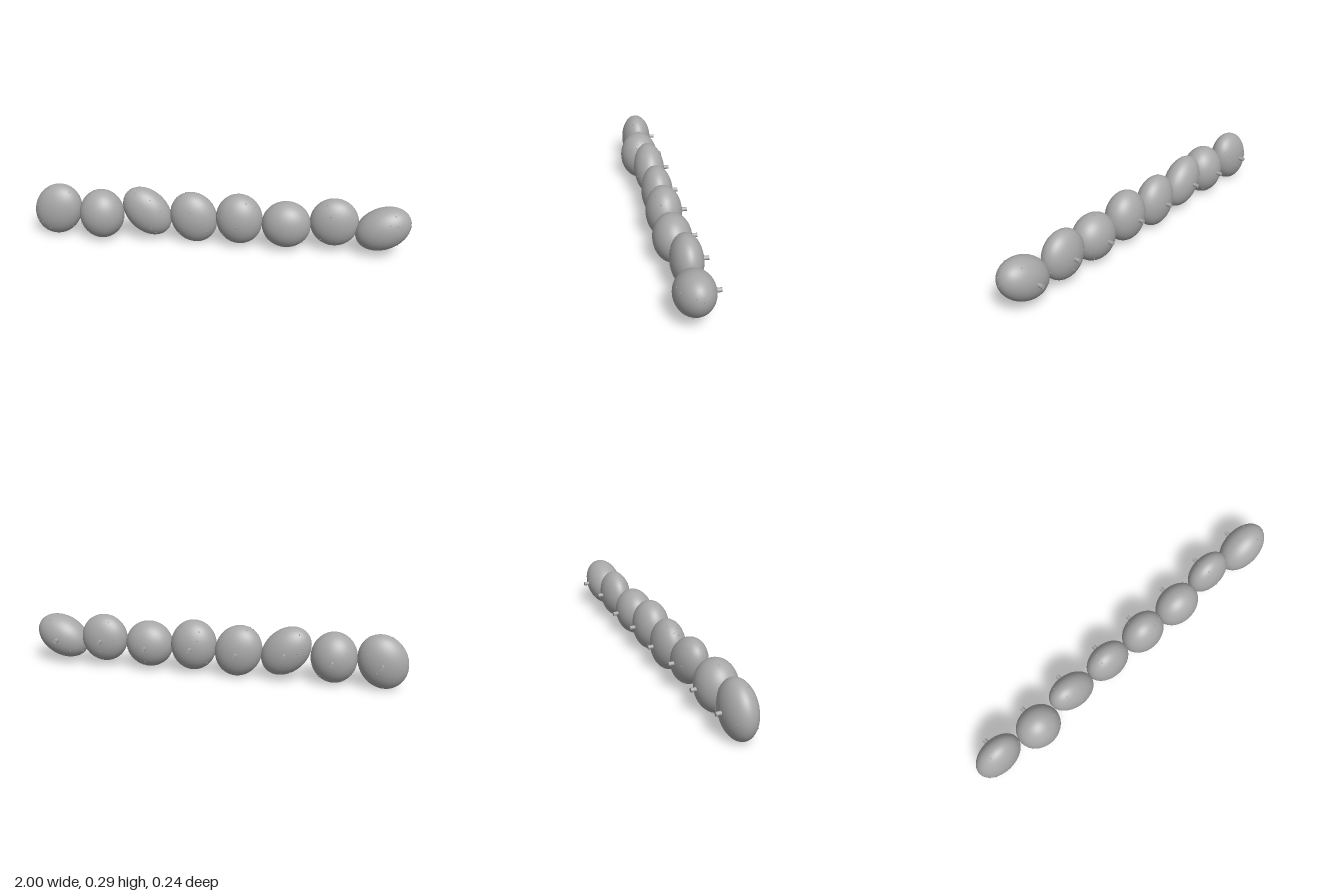
import * as THREE from 'three';

// One row per pebble: centre x, centre y, long radius, short radius, tilt of long axis (degrees), front z
const PEBBLES = [
  [-0.872, 0.148, 0.145, 0.125, 65, 0.076],
  [-0.625, 0.144, 0.134, 0.12, 90, 0.118],
  [-0.38, 0.166, 0.148, 0.111, 134, 0.077],
  [-0.129, 0.148, 0.14, 0.123, 113, 0.077],
  [0.115, 0.158, 0.136, 0.123, 95, 0.096],
  [0.362, 0.145, 0.128, 0.124, 10, 0.104],
  [0.609, 0.166, 0.129, 0.126, 90, 0.067],
  [0.858, 0.154, 0.148, 0.109, 28, 0.103],
];
const BACK = -0.091;
const PEG_END = -0.118;
const GRAINS = 12;

// Small seeded generator for scattering the grains
function seeded(seed) {
  let s = seed;
  return () => {
    s = (s * 16807) % 2147483647;
    return s / 2147483647;
  };
}

export function createModel() {
  const model = new THREE.Group();
  model.name = 'pebbleRow';
  const stone = new THREE.MeshStandardMaterial({ color: 0xa8a8a8 });
  stone.name = 'stoneGrey';

  const ball = new THREE.SphereGeometry(1, 48, 32);
  const grainShape = new THREE.SphereGeometry(0.0035, 8, 6);
  const pegShape = new THREE.CylinderGeometry(0.011, 0.011, 0.06, 8);
  pegShape.rotateX(Math.PI / 2);
  const random = seeded(4711);

  PEBBLES.forEach(([x, y, long, short, tilt, front], i) => {
    const group = new THREE.Group();
    group.name = `pebble${i + 1}`;
    const depth = (front - BACK) / 2;
    const z = (front + BACK) / 2;

    // Tilted, flattened body
    const body = new THREE.Mesh(ball, stone);
    body.name = 'body';
    body.position.set(x, y, z);
    body.rotation.z = THREE.MathUtils.degToRad(tilt);
    body.scale.set(long, short, depth);
    body.updateMatrix();
    group.add(body);

    // Short mounting peg at the back
    const peg = new THREE.Mesh(pegShape, stone);
    peg.name = 'backPeg';
    peg.position.set(x, y, PEG_END + 0.03);
    group.add(peg);

    // Tiny grains sitting on the surface
    for (let g = 0; g < GRAINS; g++) {
      const h = random() * 2 - 1;
      const a = random() * Math.PI * 2;
      const r = Math.sqrt(1 - h * h);
      const grain = new THREE.Mesh(grainShape, stone);
      grain.name = 'grain';
      grain.position.set(r * Math.cos(a), r * Math.sin(a), h).applyMatrix4(body.matrix);
      group.add(grain);
    }
    model.add(group);
  });

  // Rest the row on the ground and centre it
  const box = new THREE.Box3().setFromObject(model, true);
  const centre = box.getCenter(new THREE.Vector3());
  model.position.set(-centre.x, -box.min.y, -centre.z);
  return model;
}
